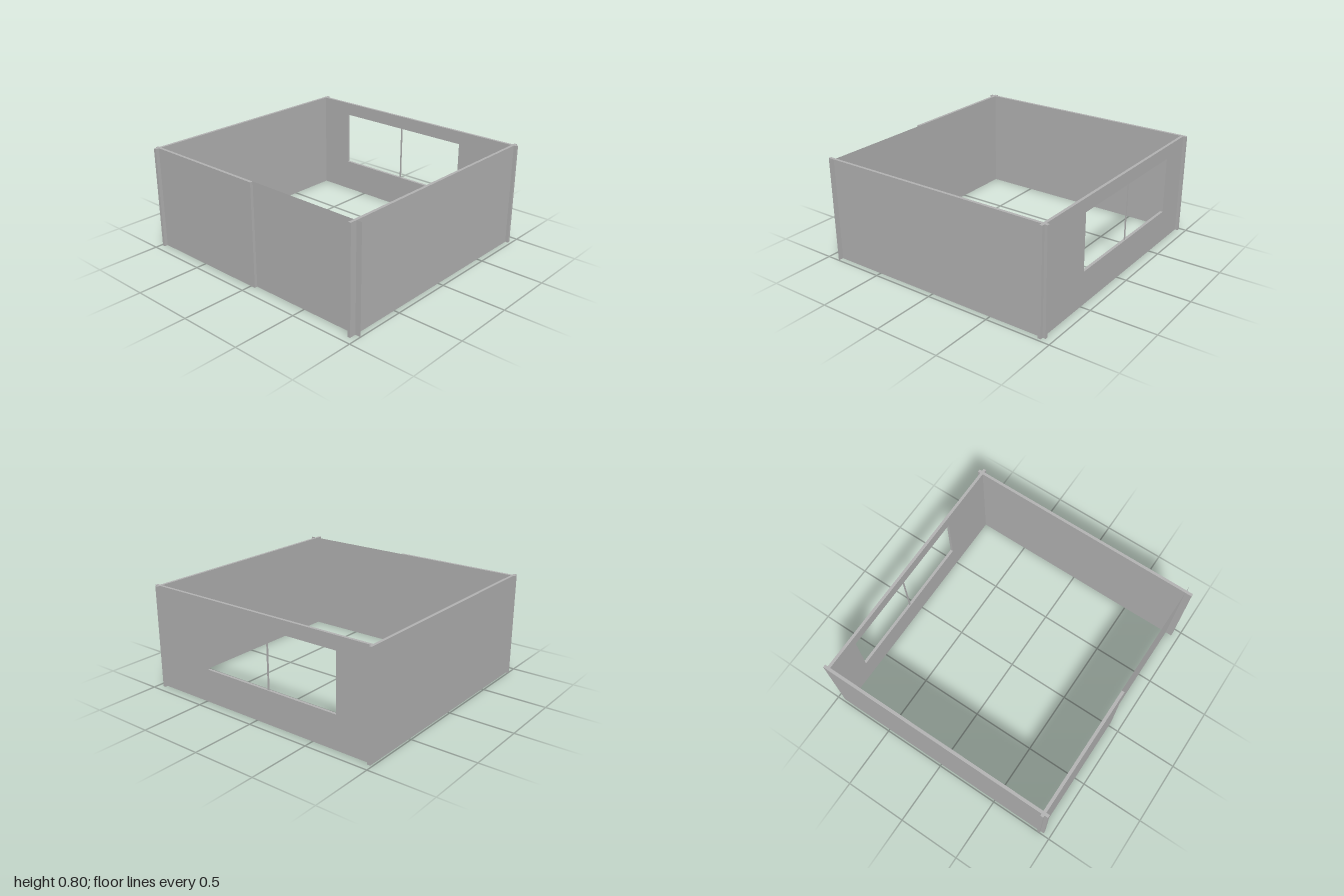
import * as THREE from 'three';

const H = 0.8; // wall height

export function createModel() {
  const model = new THREE.Group();
  model.name = 'roomWalls';
  const grey = new THREE.MeshStandardMaterial({ color: 0xb3b3b3 });
  grey.name = 'wallGrey';
  grey.side = THREE.DoubleSide;

  // Box given by its minimum and maximum corners
  const block = (name, x0, x1, y0, y1, z0, z1, parent = model) => {
    const mesh = new THREE.Mesh(new THREE.BoxGeometry(x1 - x0, y1 - y0, z1 - z0), grey);
    mesh.position.set((x0 + x1) / 2, (y0 + y1) / 2, (z0 + z1) / 2);
    mesh.name = name;
    parent.add(mesh);
  };

  // Front and back walls
  block('frontWall', -0.945, 0.945, 0, H, 0.935, 0.957);
  block('backWall', -0.945, 0.945, 0, H, -0.985, -0.962);

  // Solid half of the -x wall, continued by a thin sheet on its inner face
  block('sideWallSolid', -0.917, -0.894, 0, H, -1, 0.04);
  const sheet = new THREE.Mesh(new THREE.PlaneGeometry(0.96, H), grey);
  sheet.rotation.y = Math.PI / 2;
  sheet.position.set(-0.894, H / 2, 0.52);
  sheet.name = 'sideWallSheet';
  model.add(sheet);

  // Window wall, drawn in (-z, y) and extruded along x
  const x0 = 0.9, depth = 0.022;
  const rect = (Type, a, b, c, d) => new Type([
    new THREE.Vector2(a, c), new THREE.Vector2(b, c),
    new THREE.Vector2(b, d), new THREE.Vector2(a, d),
  ]);
  const panel = (name, outer, inner, parent) => {
    const shape = rect(THREE.Shape, ...outer);
    shape.holes.push(rect(THREE.Path, ...inner));
    const geo = new THREE.ExtrudeGeometry(shape, { depth, bevelEnabled: false });
    geo.rotateY(Math.PI / 2).translate(x0, 0, 0);
    const mesh = new THREE.Mesh(geo, grey);
    mesh.name = name;
    parent.add(mesh);
  };
  const opening = [-0.483, 0.712, 0.245, 0.708];
  panel('windowWall', [-0.98, 0.98, 0, H], opening, model);

  // Window frame with a slim centre bar
  const win = new THREE.Group();
  win.name = 'window';
  model.add(win);
  panel('windowFrame', opening, [-0.472, 0.698, 0.258, 0.697], win);
  block('windowBar', 0.908, 0.914, 0.258, 0.697, -0.113, -0.101, win);

  return model;
}
